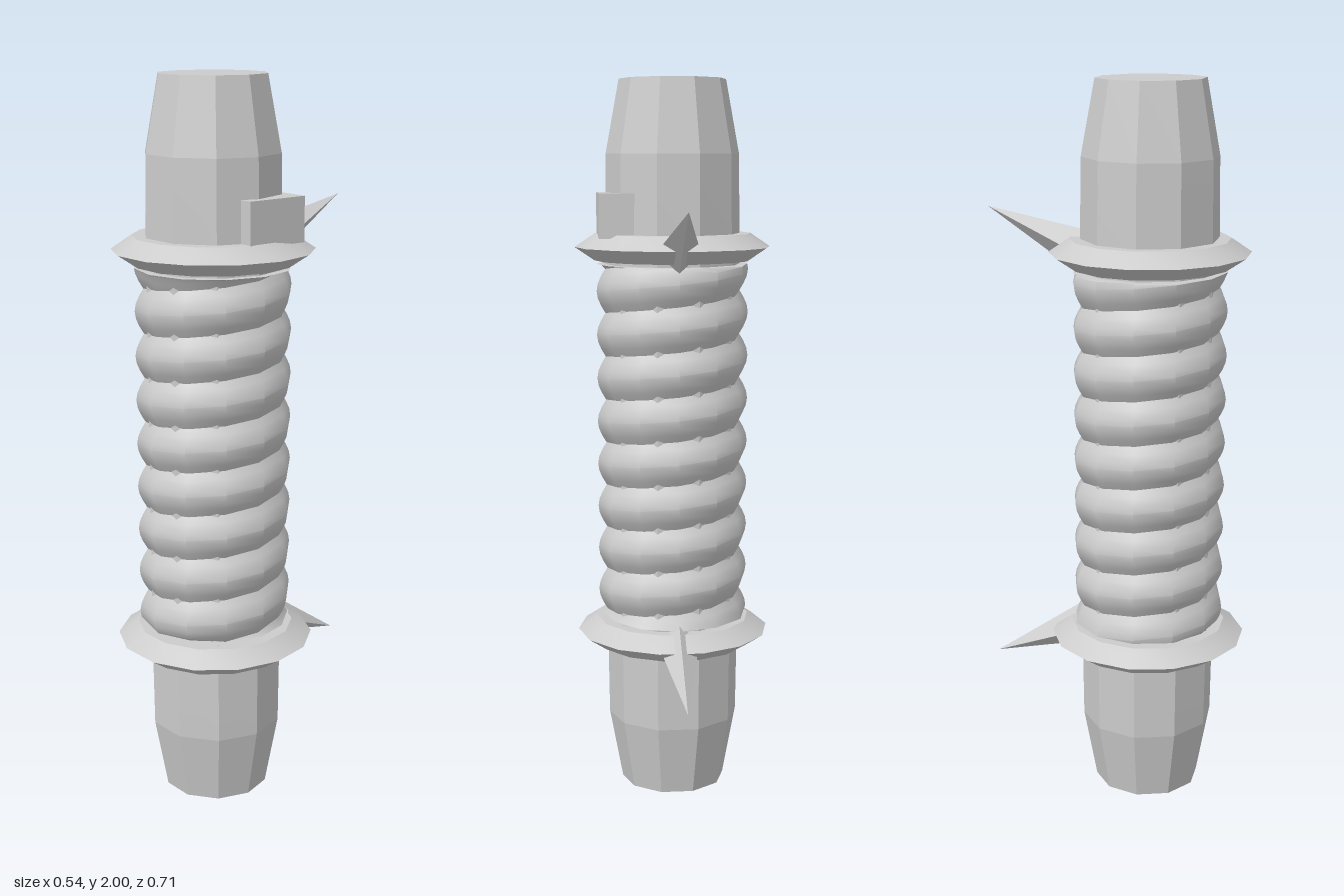
import * as THREE from 'three';
import { toCreasedNormals } from 'three/addons/utils/BufferGeometryUtils.js';

const AXIS_Z = 0.093;

export function createModel() {
  const model = new THREE.Group();
  const grey = new THREE.MeshStandardMaterial({ color: 0xcccccc });
  grey.name = 'grey';

  const add = (name, geometry, x, y, z, crease = 0.1) => {
    const mesh = new THREE.Mesh(toCreasedNormals(geometry, crease), grey);
    mesh.name = name;
    mesh.position.set(x, y, z);
    model.add(mesh);
    return mesh;
  };
  const lathe = (points, sides, start = Math.PI / 2) =>
    new THREE.LatheGeometry(points.map(([r, y]) => new THREE.Vector2(r, y)), sides, start);

  // Ten-sided core with tapered ends
  add('core', lathe([[0, 0], [0.147, 0], [0.184, 0.2], [0.187, 0.42],
    [0.187, 1.58], [0.184, 1.8], [0.147, 2], [0, 2]], 10), 0, 0, AXIS_Z);

  // Spiral grip: a rounded thread whose rows climb one pitch per turn
  const pitch = 0.122, steps = 6, rows = 10, first = 0.3575;
  const profile = [];
  for (let i = 0; i <= rows * steps; i++) {
    const t = i / steps;
    profile.push([0.188 + 0.024 * Math.sin(Math.PI * (t % 1)), first + pitch * t]);
  }
  const grip = lathe(profile, 12, 0);
  const p = grip.attributes.position;
  for (let i = 0; i < p.count; i++) {
    const turn = Math.floor(i / profile.length) / 12;
    p.setY(i, THREE.MathUtils.clamp(p.getY(i) + pitch * turn, 0.5, 1.5));
  }
  add('spiralGrip', grip, 0, 0, AXIS_Z, 0.6);

  // Bevelled collars and backward spikes, mirrored at both ends of the grip
  for (const [side, label] of [[1, 'upper'], [-1, 'lower']]) {
    const y = 1 + side * 0.547;
    add(label + 'Collar', lathe([[0.17, -0.037], [0.217, -0.037], [0.272, 0],
      [0.217, 0.037], [0.17, 0.037]], 14), 0, y, AXIS_Z, 0.5);

    const base = new THREE.Vector3(0, 1 + side * 0.54, -0.085);
    const tip = new THREE.Vector3(0, 1 + side * 0.655, -0.355);
    const along = tip.clone().sub(base);
    const cone = new THREE.ConeGeometry(0.06, along.length(), 4);
    cone.applyQuaternion(new THREE.Quaternion().setFromUnitVectors(
      new THREE.Vector3(0, 1, 0), along.clone().normalize()));
    const mid = base.add(tip).multiplyScalar(0.5);
    add(label + 'Spike', cone, mid.x, mid.y, mid.z);
  }

  // Switch block on the left side above the upper collar
  add('switchBlock', new THREE.BoxGeometry(0.1, 0.12, 0.182), 0.159, 1.635, 0.049);

  return model;
}
